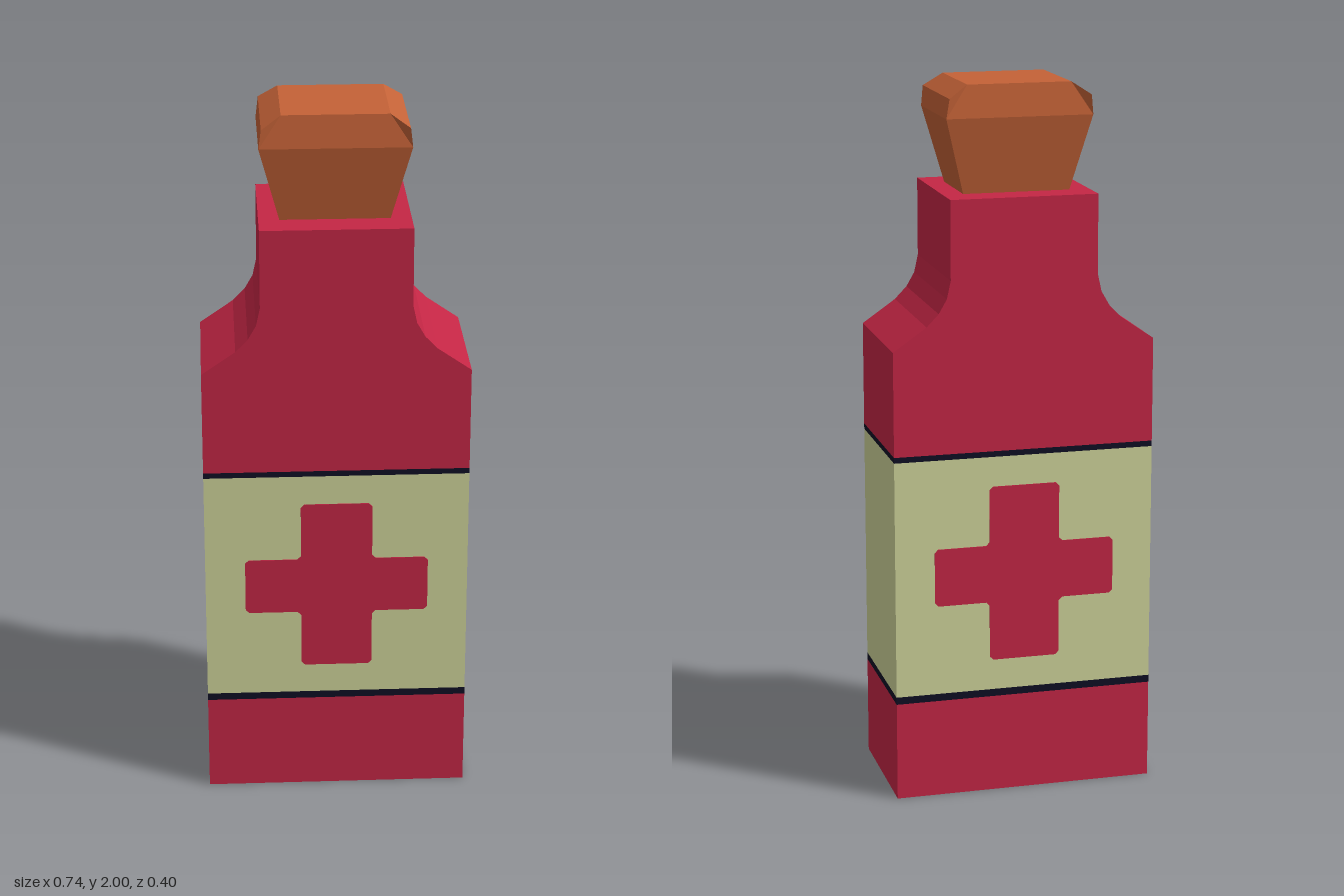
import * as THREE from 'three';

const mat = (name, color) => {
  const m = new THREE.MeshStandardMaterial({ color });
  m.name = name;
  return m;
};

// Mirror a right-hand outline (listed bottom to top) into a closed one
const mirrorX = (pts) => [...pts, ...pts.map(([x, y]) => [-x, y]).reverse()];

const extrude = (pts, depth) => {
  const shape = new THREE.Shape(pts.map(([x, y]) => new THREE.Vector2(x, y)));
  const g = new THREE.ExtrudeGeometry(shape, { depth, bevelEnabled: false });
  return g.translate(0, 0, -depth / 2);
};

// Flared stopper: a front outline whose depth differs at each point
function stopperGeometry() {
  const half = [[0.15, 1.7, 0.11], [0.205, 1.91, 0.15], [0.198, 1.965, 0.158], [0.145, 2, 0.14]];
  const ring = [...half, ...half.map(([x, y, z]) => [-x, y, z]).reverse()];
  const n = ring.length;
  const front = ring.flat();
  const back = ring.flatMap(([x, y, z]) => [x, y, -z]);
  const index = [];
  // front and back faces
  const caps = [[7, 0, 1], [7, 1, 6], [6, 1, 3], [6, 3, 4], [1, 2, 3], [6, 4, 5]];
  for (const [a, b, c] of caps) index.push(a, b, c, a + n, c + n, b + n);
  // sides, top and bottom
  for (let i = 0; i < n; i++) {
    const j = (i + 1) % n;
    index.push(i, i + n, j + n, i, j + n, j);
  }
  const g = new THREE.BufferGeometry();
  g.setAttribute('position', new THREE.Float32BufferAttribute([...front, ...back], 3));
  g.setIndex(index);
  const flat = g.toNonIndexed();
  flat.computeVertexNormals();
  return flat;
}

export function createModel() {
  const group = new THREE.Group();
  const red = mat('red glass', 0xc42645);
  const cream = mat('cream label', 0xcfd49a);
  const dark = mat('dark trim', 0x0f0f24);
  const cork = mat('cork', 0xc46237);
  const W = 0.738, D = 0.396;

  const add = (name, geometry, material) => {
    const mesh = new THREE.Mesh(geometry, material);
    mesh.name = name;
    group.add(mesh);
    return mesh;
  };

  // Straight lower body, stacked in coloured bands
  const bands = [
    ['base', 0, 0.281, red],
    ['lowerTrim', 0.281, 0.302, dark],
    ['label', 0.302, 0.98, cream],
    ['upperTrim', 0.98, 0.996, dark],
  ];
  for (const [name, y0, y1, material] of bands) {
    add(name, new THREE.BoxGeometry(W, y1 - y0, D).translate(0, (y0 + y1) / 2, 0), material);
  }

  // Shoulders curving into the neck
  add('shouldersAndNeck', extrude(mirrorX([
    [W / 2, 0.996], [W / 2, 1.29], [0.275, 1.355], [0.241, 1.39],
    [0.218, 1.43], [0.207, 1.48], [0.207, 1.7],
  ]), D), red);

  // Cross on the front and back of the label
  const quarter = [[0.257, 0.0725], [0.247, 0.0825], [0.11, 0.0825], [0.1, 0.0925], [0.1, 0.2425], [0.09, 0.2525]];
  const lower = quarter.map(([x, y]) => [x, -y]).reverse();
  const cross = extrude(mirrorX([...lower, ...quarter]), 0.004);
  for (const [name, side] of [['frontCross', 1], ['backCross', -1]]) {
    add(name, cross, red).position.set(0, 0.6425, side * D / 2);
  }

  add('stopper', stopperGeometry(), cork);
  return group;
}
